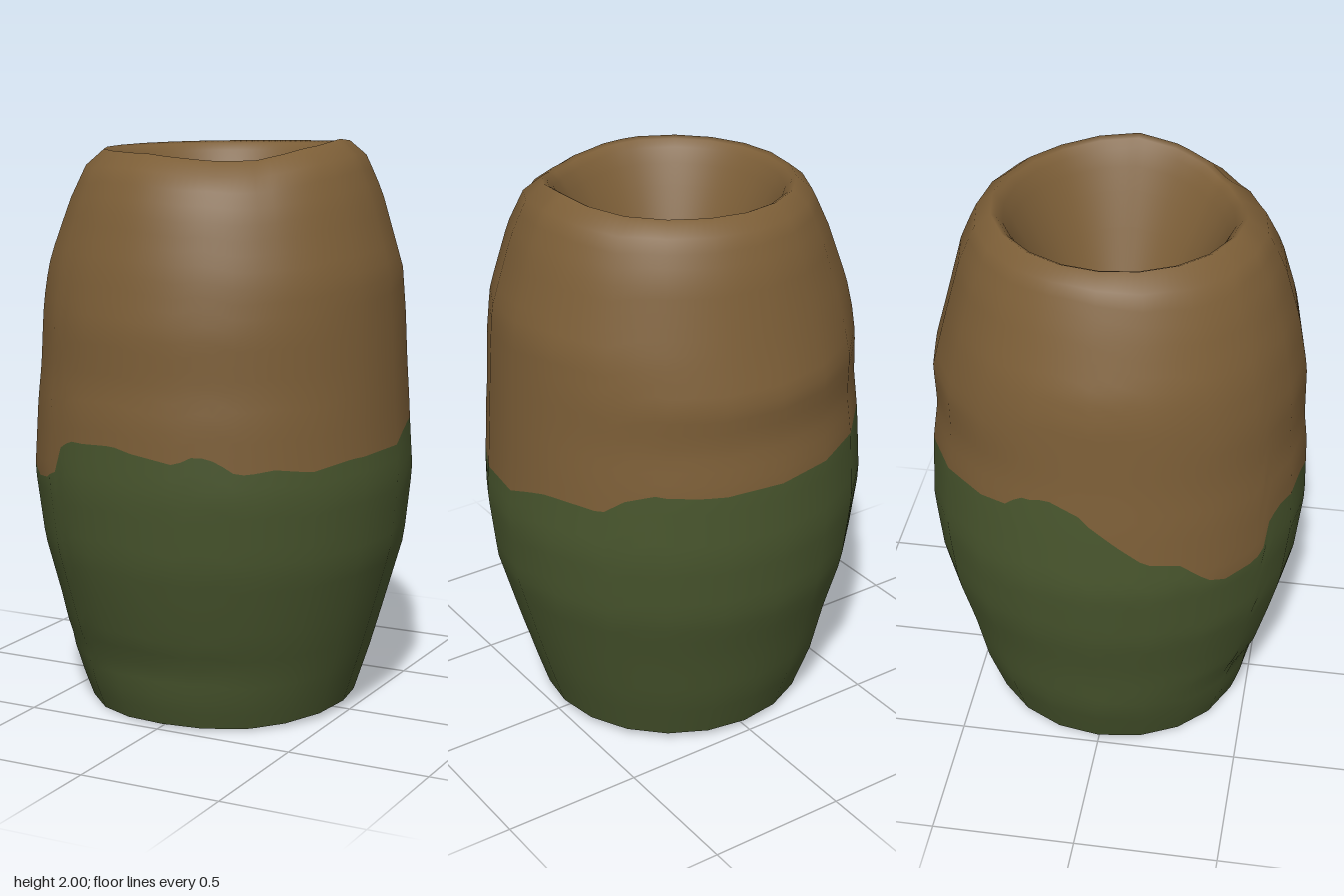
import * as THREE from 'three';

const SIDES = 20, SUB = 6, COLS = SIDES * SUB;

// piecewise linear lookup in [[key, value], ...]
function lookup(table, k) {
  if (k <= table[0][0]) return table[0][1];
  for (let i = 1; i < table.length; i++) {
    const [k0, v0] = table[i - 1], [k1, v1] = table[i];
    if (k <= k1) return v0 + (v1 - v0) * (k - k0) / (k1 - k0);
  }
  return table[table.length - 1][1];
}

// silhouette radius by height: front (+z), left (+x), back (-z), right (-x)
const PROFILES = [
  [[0, 0.465], [0.1, 0.5], [0.2, 0.518], [0.24, 0.525], [0.29, 0.553], [0.45, 0.6], [0.6, 0.64], [0.85, 0.668], [1.1, 0.662], [1.2, 0.65], [1.4, 0.647], [1.6, 0.612], [1.8, 0.555], [1.92, 0.495], [1.95, 0.465], [1.97, 0.425]],
  [[0, 0.465], [0.2, 0.53], [0.37, 0.58], [0.6, 0.645], [0.85, 0.672], [1.0, 0.662], [1.3, 0.645], [1.55, 0.63], [1.8, 0.555], [1.92, 0.5], [1.95, 0.475], [1.97, 0.44]],
  [[0, 0.46], [0.2, 0.53], [0.4, 0.58], [0.6, 0.64], [0.85, 0.665], [1.1, 0.655], [1.25, 0.634], [1.4, 0.643], [1.55, 0.602], [1.8, 0.537], [1.92, 0.485], [1.95, 0.462], [1.97, 0.425]],
  [[0, 0.475], [0.2, 0.55], [0.4, 0.588], [0.6, 0.64], [0.85, 0.674], [1.1, 0.655], [1.25, 0.64], [1.5, 0.623], [1.6, 0.603], [1.8, 0.525], [1.92, 0.47], [1.95, 0.45], [1.97, 0.415]],
];

// height of the ragged colour line by angle in degrees (0 = front, 90 = left)
const LINE = [[-180, 1.09], [-158, 1.1], [-135, 1.115], [-117, 1.13], [-112, 1.18], [-103, 1.2], [-93, 1.16],
  [-82, 1.05], [-74, 0.98], [-63, 0.95], [-55, 0.87], [-48, 0.835], [-39, 0.85], [-33, 0.88], [-30, 0.97], [-25, 1],
  [-7, 1.01], [4, 0.985], [13, 0.965], [19, 1], [25, 0.98], [31, 0.935], [42, 0.95], [53, 0.935], [68, 0.96],
  [90, 0.97], [98, 1], [107, 1.03], [125, 1.02], [132, 1.07], [141, 1.1], [154, 1.085], [180, 1.09]];
const RIM = [[-180, 1.97], [-90, 1.962], [-10, 1.958], [10, 1.945], [25, 1.937], [42, 1.94], [65, 1.975], [90, 2], [125, 1.98], [180, 1.97]];
const BASE = [[-180, 0.025], [-90, 0.02], [-40, 0.002], [0, 0.012], [40, 0.008], [90, 0.03], [180, 0.025]];

// hollow, as [fraction of rim radius, drop below rim]
const HOLLOW = [[0.96, 0.008], [0.91, 0.032], [0.85, 0.08], [0.77, 0.15], [0.65, 0.26], [0.5, 0.41], [0.35, 0.55], [0.2, 0.67], [0.1, 0.72], [0.002, 0.73]];

function radius(deg, y) {
  const q = ((deg + 360) % 360) / 90, i = Math.floor(q) % 4, t = q - Math.floor(q);
  const s = t * t * (3 - 2 * t);
  return lookup(PROFILES[i], y) * (1 - s) + lookup(PROFILES[(i + 1) % 4], y) * s;
}

export function createModel() {
  // the wall is a thin shell, open underneath
  const brown = new THREE.MeshStandardMaterial({ color: 0x7c5e37, side: THREE.DoubleSide });
  brown.name = 'brown glaze';
  const green = new THREE.MeshStandardMaterial({ color: 0x48552d, side: THREE.DoubleSide });
  green.name = 'green glaze';

  // rows: base to colour line, colour line to rim, rim down into the hollow
  const LOWER = 18, UPPER = 20, rows = LOWER + UPPER + HOLLOW.length;
  const pos = [], index = [];
  for (let r = 0; r <= rows; r++) {
    for (let c = 0; c < COLS; c++) {
      const deg = c / COLS * 360 - 180, a = deg * Math.PI / 180;
      const base = lookup(BASE, deg), line = lookup(LINE, deg), rim = lookup(RIM, deg);
      let y, rad;
      if (r <= LOWER + UPPER) {
        const t = (r - LOWER) / UPPER;
        y = r <= LOWER ? base + (line - base) * r / LOWER : line + (rim - line) * t;
        rad = radius(deg, r <= LOWER ? y : y * (1 + (1.97 / rim - 1) * t));
      } else {
        const [f, drop] = HOLLOW[r - LOWER - UPPER - 1];
        y = 1.96 + (rim - 1.96) * f * f - drop;
        rad = radius(deg, 1.97) * f;
      }
      pos.push(Math.sin(a) * rad, y, Math.cos(a) * rad);
    }
  }
  for (let r = 0; r < rows; r++) {
    for (let c = 0; c < COLS; c++) {
      const d = (c + 1) % COLS, p = r * COLS, q = p + COLS;
      index.push(p + c, p + d, q + d, p + c, q + d, q + c);
    }
  }
  const bodyGeo = new THREE.BufferGeometry();
  bodyGeo.setAttribute('position', new THREE.Float32BufferAttribute(pos, 3));
  bodyGeo.setIndex(index);
  bodyGeo.computeVertexNormals();
  bodyGeo.addGroup(0, LOWER * COLS * 6, 0);
  bodyGeo.addGroup(LOWER * COLS * 6, index.length - LOWER * COLS * 6, 1);

  // pull the outer wall onto a twenty-sided outline, keeping the round normals
  const p = bodyGeo.attributes.position;
  for (let i = 0; i < p.count; i++) {
    const local = ((i % COLS) % SUB / SUB - 0.5) * 2 * Math.PI / SIDES;
    const k = Math.cos(Math.PI / SIDES) / Math.cos(local);
    p.setX(i, p.getX(i) * k);
    p.setZ(i, p.getZ(i) * k);
  }

  const body = new THREE.Mesh(bodyGeo, [green, brown]);
  body.name = 'potBody';
  const group = new THREE.Group();
  group.name = 'pot';
  group.add(body);
  return group;
}
